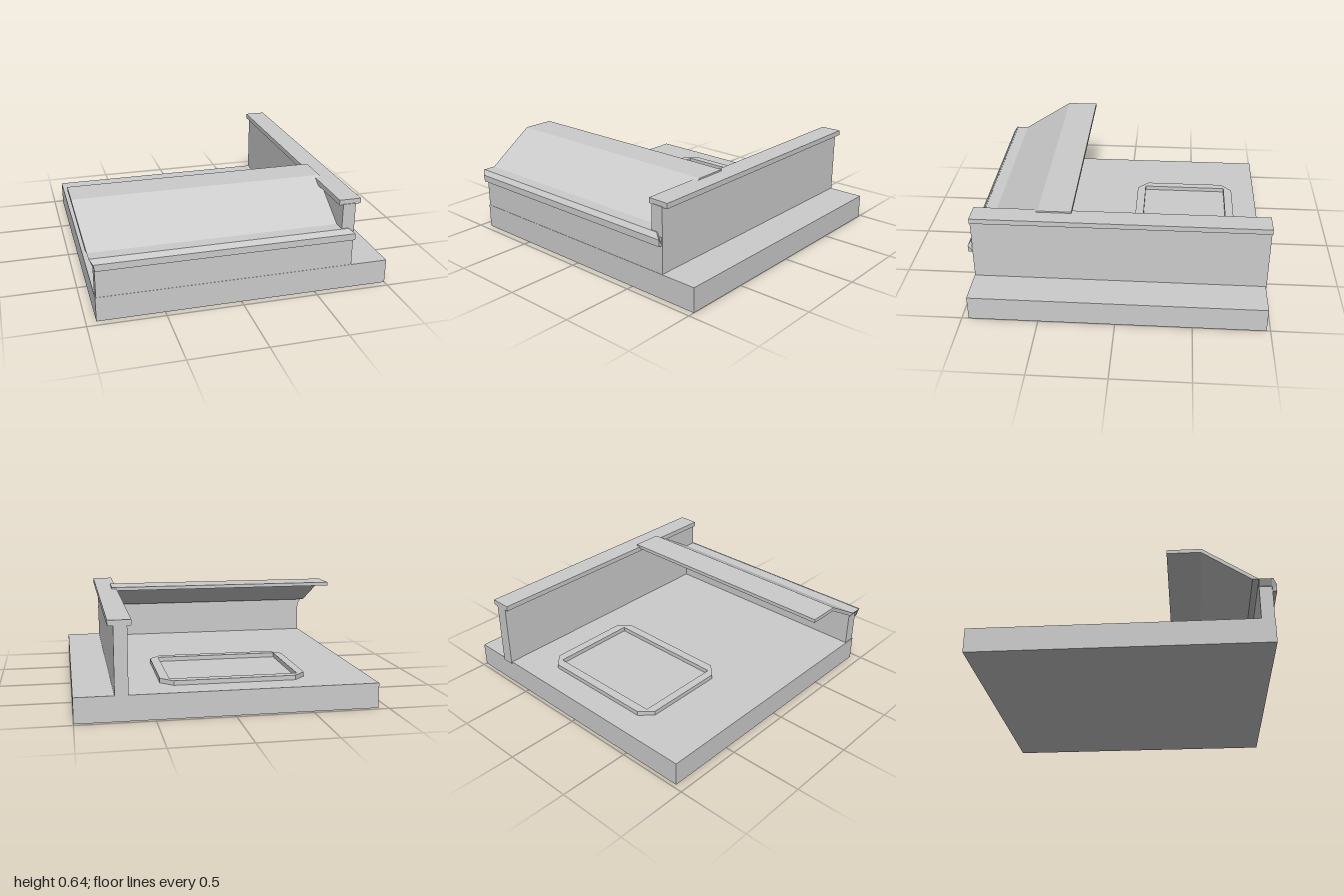
import * as THREE from 'three';

const material = new THREE.MeshStandardMaterial({ color: 0xcccccc, flatShading: true });

function add(group, name, geometry) {
  const mesh = new THREE.Mesh(geometry, material);
  mesh.name = name;
  group.add(mesh);
}

// Box given by its limits on each axis
function box(x0, x1, y0, y1, z0, z1) {
  return new THREE.BoxGeometry(x1 - x0, y1 - y0, z1 - z0)
    .translate((x0 + x1) / 2, (y0 + y1) / 2, (z0 + z1) / 2);
}

const shapeOf = (points) => new THREE.Shape(points.map(([a, b]) => new THREE.Vector2(a, b)));

// Profile of [z, y] points run along x; ends(z, y) gives the left and right limits
function run(points, ends) {
  const geometry = new THREE.ExtrudeGeometry(shapeOf(points), { depth: 1, bevelEnabled: false });
  geometry.rotateY(-Math.PI / 2);
  const p = geometry.attributes.position;
  for (let i = 0; i < p.count; i++) {
    const [min, max] = ends(p.getZ(i), p.getY(i));
    p.setX(i, p.getX(i) < -0.5 ? min : max);
  }
  geometry.computeVertexNormals();
  return geometry;
}

export function createModel() {
  const model = new THREE.Group();
  model.name = 'platform';

  // Floor slab
  add(model, 'floorSlab', box(-0.935, 1, 0, 0.165, -0.975, 0.955));

  // Long side wall with its overhanging cap
  add(model, 'sideWall', box(0.665, 0.75, 0.15, 0.6, -0.98, 0.95));
  add(model, 'sideWallCap', box(0.64, 0.785, 0.595, 0.63, -0.98, 0.945));

  // Low front wall and the ledge on top
  add(model, 'frontWall', box(-0.93, 0.748, 0.16, 0.405, 0.87, 0.953));
  add(model, 'frontLedge', run(
    [[0.87, 0.39], [0.955, 0.39], [0.955, 0.43], [0.87, 0.43]],
    (z, y) => [y > 0.42 ? -0.96 : -0.935, 0.71]));

  // Bevelled trim along the front
  add(model, 'frontTrim', run(
    [[0.95, 0.355], [0.98, 0.355], [0.98, 0.4], [0.957, 0.432], [0.95, 0.432]],
    (z, y) => (y > 0.42 ? [-0.96, 0.71] : [y > 0.38 ? -0.938 : -0.93, 0.75])));

  // Thin canopy: flat strip, then a slope narrowing down to the ledge
  add(model, 'canopy', run(
    [[0.3, 0.615], [0.515, 0.615], [0.83, 0.425], [0.87, 0.43], [0.52, 0.64], [0.3, 0.64]],
    (z) => [-1 + 0.04 * Math.max(0, (z - 0.52) / 0.35), z < 0.6 ? 0.675 : 0.67]));

  // Raised hatch frame with clipped corners and a rectangular opening
  const x0 = -0.51, x1 = 0.445, z0 = 0.075, z1 = 0.8, c = 0.08;
  const frame = shapeOf([
    [x0 + c, z0], [x1 - c, z0], [x1, z0 + c], [x1, z1 - c],
    [x1 - c, z1], [x0 + c, z1], [x0, z1 - c], [x0, z0 + c],
  ]);
  frame.holes.push(shapeOf([[-0.455, 0.135], [-0.455, 0.74], [0.385, 0.74], [0.385, 0.135]]));
  add(model, 'hatchFrame', new THREE.ExtrudeGeometry(frame, { depth: 0.035, bevelEnabled: false })
    .rotateX(-Math.PI / 2).translate(0, 0.16, 0));

  return model;
}
